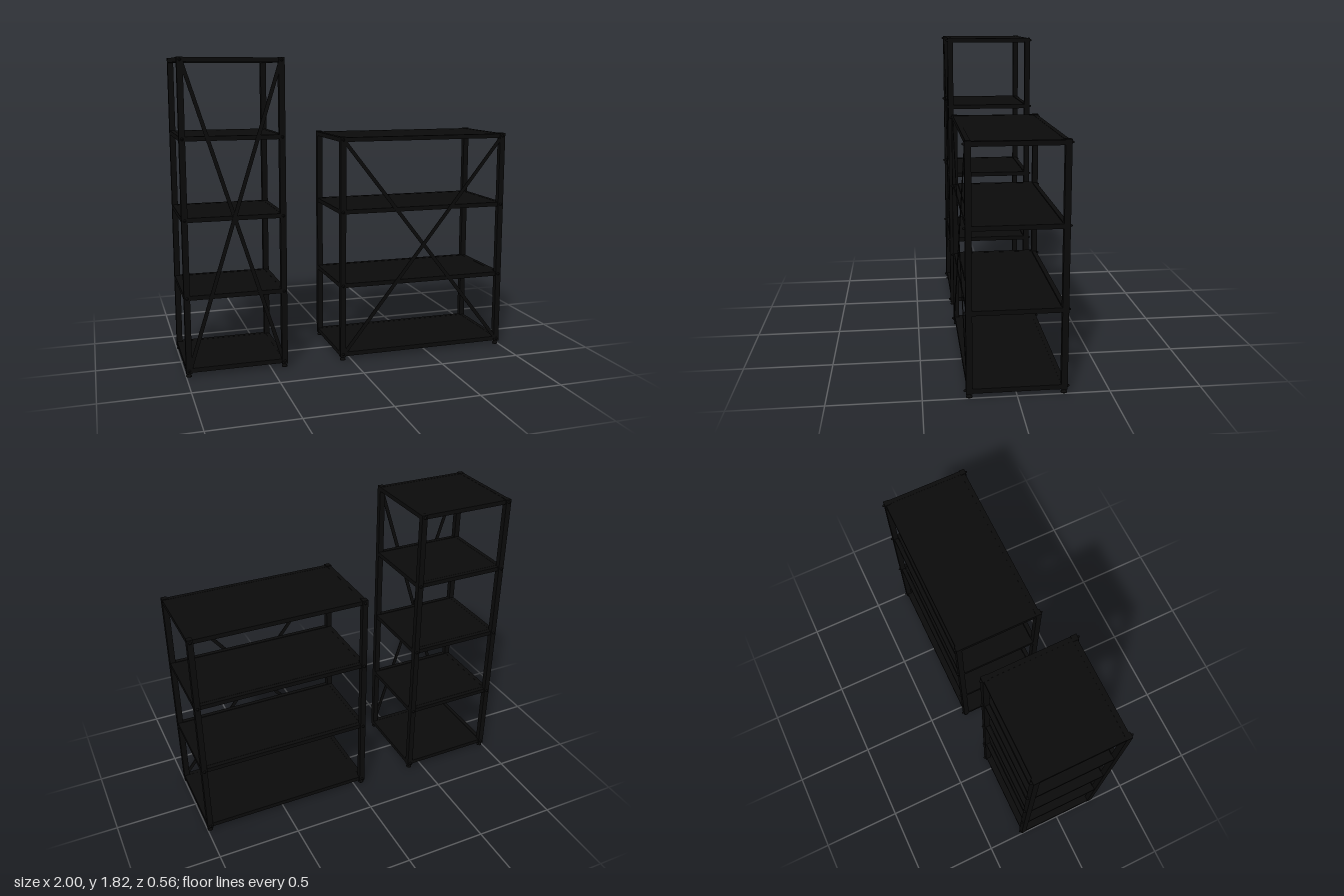
import * as THREE from 'three';

const black = new THREE.MeshStandardMaterial({ color: 0x0a0a0a });
const POST = 0.034, RAIL = 0.026, DEPTH = 0.27; // DEPTH: half depth of a unit

function add(group, name, geometry, x, y, z) {
  const mesh = new THREE.Mesh(geometry, black);
  mesh.name = name;
  mesh.position.set(x, y, z);
  group.add(mesh);
  return mesh;
}

function makeUnit(name, xMin, xMax, height, levels) {
  const unit = new THREE.Group();
  unit.name = name;
  const cx = (xMin + xMax) / 2;
  const px = (xMax - xMin - POST) / 2; // post offset from the unit centre
  const pz = DEPTH - POST / 2;

  // Adjustable foot: flared pad with a narrow stem
  const footGeo = new THREE.LatheGeometry([
    [0, 0], [0.017, 0], [0.017, 0.006], [0.008, 0.015], [0.008, 0.025], [0, 0.025],
  ].map(([r, y]) => new THREE.Vector2(r, y)), 16);
  const boltGeo = new THREE.CylinderGeometry(0.004, 0.009, 0.012, 12);
  const postGeo = new THREE.BoxGeometry(POST, height - 0.02, POST);

  // Corner posts with feet, and a bolt at each shelf
  for (const sx of [-1, 1]) for (const sz of [-1, 1]) {
    const x = cx + sx * px, z = sz * pz;
    add(unit, 'post', postGeo, x, (height + 0.02) / 2, z);
    add(unit, 'foot', footGeo, x, 0, z);
    for (const y of levels) {
      add(unit, 'bolt', boltGeo, x, y, sz * (DEPTH + 0.006)).rotation.x = sz * Math.PI / 2;
    }
  }

  // Shelves: rails between the posts around a flat panel
  const railZ = DEPTH - 0.007 - RAIL / 2;
  const railX = px + POST / 2 - RAIL / 2 - 0.002;
  const longGeo = new THREE.BoxGeometry(2 * px - POST, RAIL, RAIL);
  const sideGeo = new THREE.BoxGeometry(RAIL, RAIL, 2 * pz - POST);
  levels.forEach((y, i) => {
    for (const s of [-1, 1]) {
      add(unit, 'longRail', longGeo, cx, y, s * railZ);
      add(unit, 'sideRail', sideGeo, cx + s * railX, y, 0);
    }
    // Middle panels keep a hairline gap to the long rails
    const gap = i > 0 && i < levels.length - 1 ? 0.003 : 0;
    add(unit, 'shelfPanel',
      new THREE.BoxGeometry(2 * railX - RAIL, 0.022, 2 * (railZ - RAIL / 2 - gap)), cx, y + 0.001, 0);
  });

  // Flat diagonal braces across the front
  const low = levels[0] + 0.005, high = levels[levels.length - 1] - 0.005;
  const w = 2 * px - 0.012, h = high - low;
  [-1, 1].forEach((s) => {
    const brace = add(unit, 'diagonalBrace',
      new THREE.BoxGeometry(Math.hypot(w, h), 0.022, 0.004), cx, (low + high) / 2, 0.2655 + s * 0.0015);
    brace.rotation.z = s * Math.atan2(h, w);
  });
  return unit;
}

export function createModel() {
  const model = new THREE.Group();
  model.name = 'shelvingUnits';
  const levels = [0.037, 0.467, 0.917];
  model.add(makeUnit('tallShelf', -1, -0.4, 1.82, [...levels, 1.373, 1.805]));
  model.add(makeUnit('wideShelf', -0.07, 1, 1.364, [...levels, 1.347]));
  return model;
}
